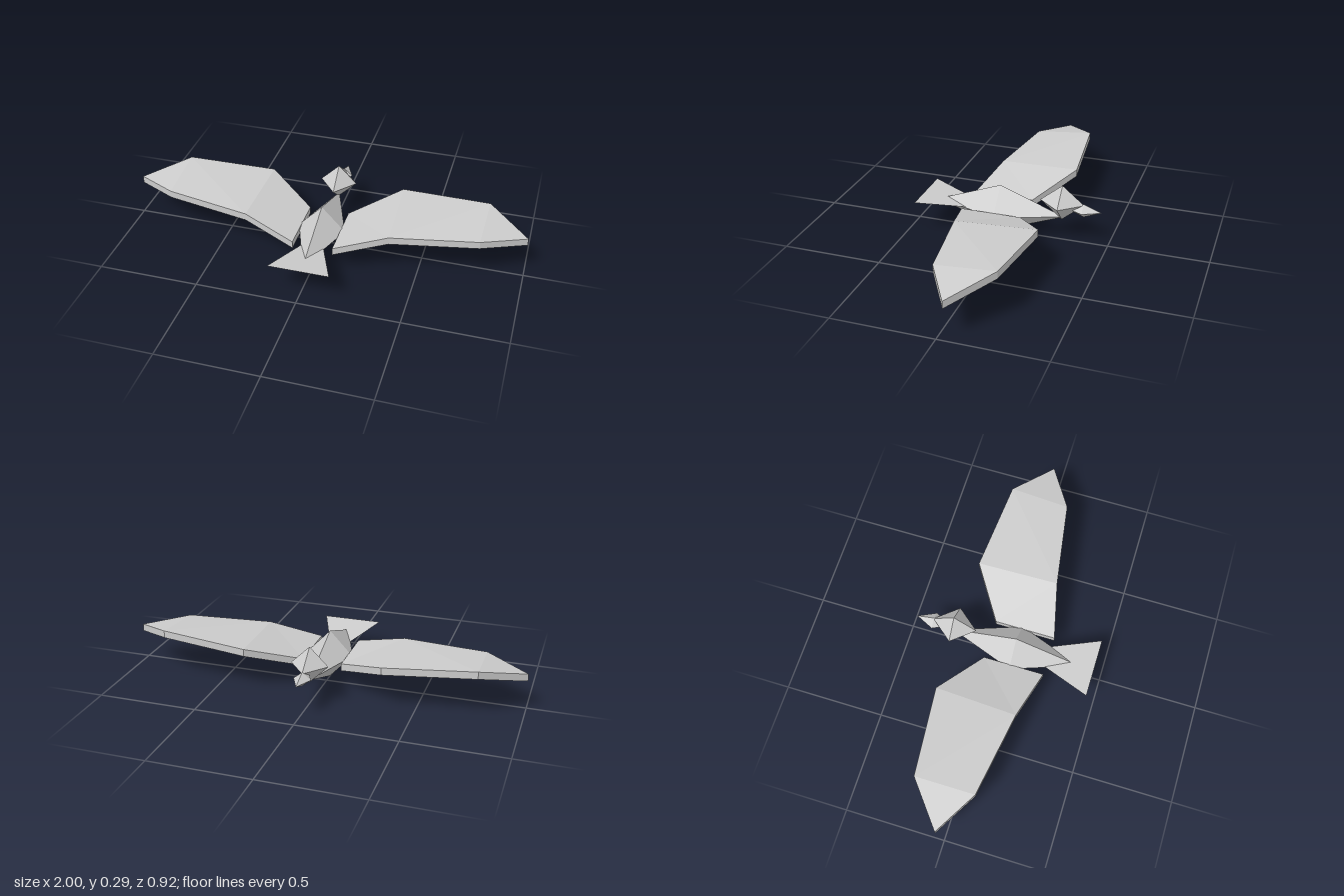
import * as THREE from 'three';

const plumage = new THREE.MeshStandardMaterial({ color: 0xcccccc, flatShading: true });
plumage.name = 'pale grey';
const tailMaterial = plumage.clone();
tailMaterial.side = THREE.DoubleSide;

function makeMesh(name, geometry, material = plumage) {
  const mesh = new THREE.Mesh(geometry, material);
  mesh.name = name;
  return mesh;
}

function buildGeometry(points, faces) {
  const indexed = new THREE.BufferGeometry();
  indexed.setAttribute('position', new THREE.Float32BufferAttribute(points.flat(), 3));
  indexed.setIndex(faces.flat());
  const geometry = indexed.toNonIndexed();
  geometry.computeVertexNormals();
  return geometry;
}

// Stretched octahedron: half sizes, then centre height and depth
function diamond(name, [rx, ry, rz], y, z) {
  const geometry = new THREE.OctahedronGeometry(1).scale(rx, ry, rz);
  const mesh = makeMesh(name, geometry);
  mesh.position.set(0, y, z);
  return mesh;
}

// Wing outline on the upper side: leading edge, tip, trailing edge
const wingOutline = [
  [0.1, 0.14, -0.08], [0.345, 0.226, -0.245], [0.79, 0.25, -0.203],
  [1, 0.195, -0.035],
  [0.785, 0.224, 0.095], [0.36, 0.212, 0.163], [0.1, 0.14, 0.227],
];
const wingFaces = [[0, 6, 5], [0, 5, 1], [1, 5, 2], [5, 4, 2], [2, 4, 3]];
const wingThickness = 0.037;

function wing(name, side) {
  const n = wingOutline.length;
  const upper = wingOutline.map(([x, y, z]) => [side * x, y, z]);
  const lower = upper.map(([x, y, z]) => [x, y - wingThickness, z]);
  const faces = [...wingFaces];
  for (const [a, b, c] of wingFaces) faces.push([c + n, b + n, a + n]);
  for (let i = 0; i < n; i++) {
    const j = (i + 1) % n;
    faces.push([i, j, j + n], [i, j + n, i + n]);
  }
  const wound = side > 0 ? faces : faces.map(([a, b, c]) => [c, b, a]);
  return makeMesh(name, buildGeometry([...upper, ...lower], wound));
}

export function createModel() {
  const bird = new THREE.Group();
  bird.name = 'bird';

  // Body, head and beak are faceted diamonds
  bird.add(diamond('body', [0.118, 0.125, 0.331], 0.125, 0.056));
  bird.add(diamond('head', [0.093, 0.092, 0.112], 0.203, -0.263));
  bird.add(diamond('beak', [0.043, 0.035, 0.09], 0.176, -0.372));

  // Thin tail fan, rising slightly towards the back
  const tail = buildGeometry([[0, 0.11, 0.08], [-0.15, 0.158, 0.46], [0.15, 0.158, 0.46]], [[0, 1, 2]]);
  bird.add(makeMesh('tail', tail, tailMaterial));

  bird.add(wing('leftWing', 1), wing('rightWing', -1));
  return bird;
}
